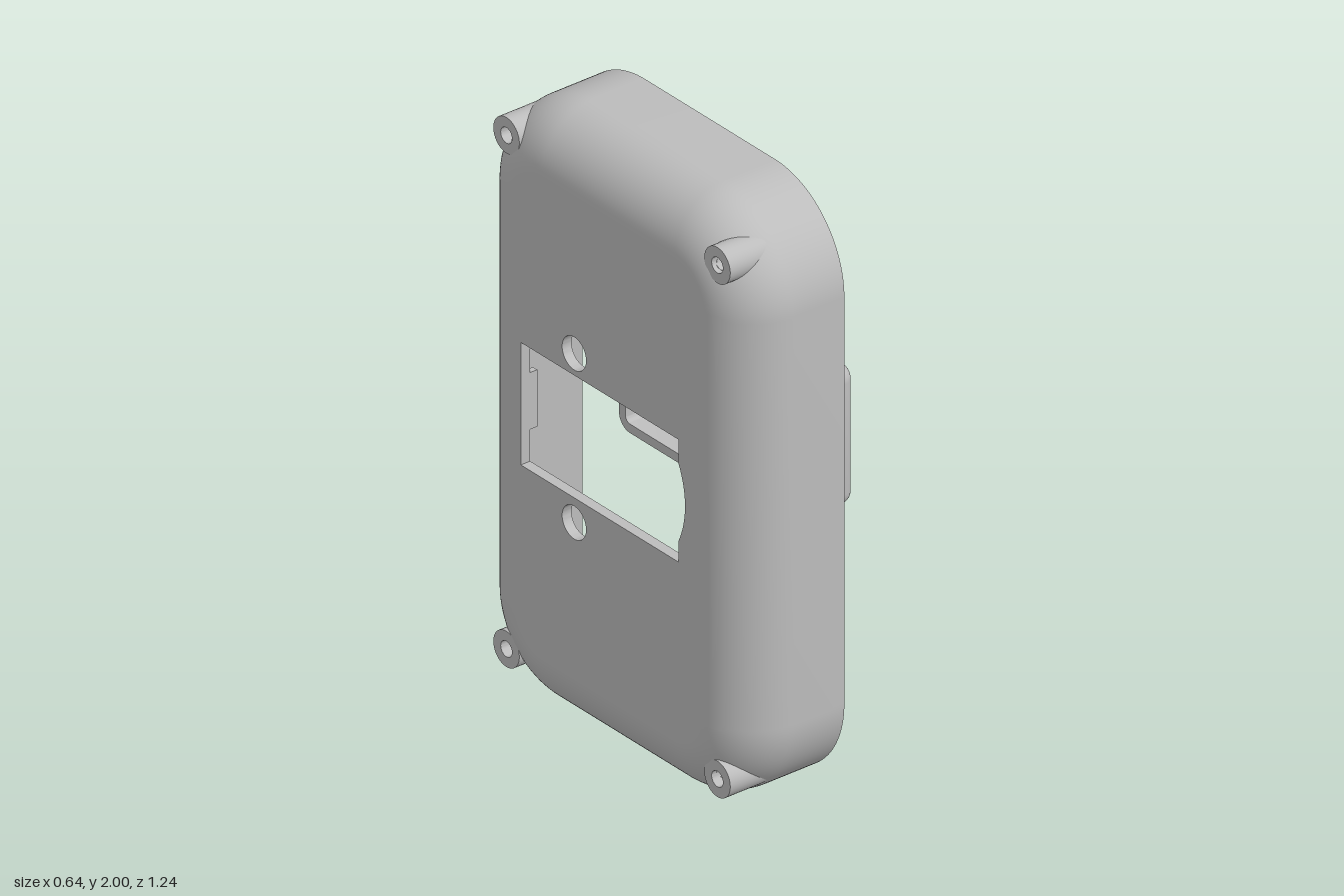
import * as THREE from 'three';
import { toCreasedNormals } from 'three/addons/utils/BufferGeometryUtils.js';

// Parts are built lying on the XY plane with depth along +Z, then turned so depth runs along +X.
const grey = new THREE.MeshStandardMaterial({ color: 0xbcbcbc });
grey.name = 'casingGrey';

const TRAY = { hw: 0.62, hh: 1, r: 0.32, fillet: 0.19, wall: 0.035, floor: -0.32, rim: 0.06 };
const COVER = { hw: 0.395, hh: 0.235, r: 0.05, fillet: 0.04, wall: 0.03, open: 0.075, top: 0.32 };
const POST = { x: 0.485, y: 0.86, r: 0.06, bore: 0.026, tip: -0.305 };

function part(name, geometry) {
  const mesh = new THREE.Mesh(geometry, grey);
  mesh.name = name;
  return mesh;
}

// Counter-clockwise rounded rectangle
function roundedRect(hw, hh, r, n) {
  const pts = [];
  for (let c = 0; c < 4; c++) {
    const sx = c === 0 || c === 3 ? 1 : -1, sy = c < 2 ? 1 : -1;
    for (let i = 0; i <= n; i++) {
      const a = (c + i / n) * Math.PI / 2;
      pts.push(new THREE.Vector2(sx * (hw - r) + r * Math.cos(a), sy * (hh - r) + r * Math.sin(a)));
    }
  }
  return pts;
}

// Join closed rings of points into a skin, leaving out quads lying wholly in a bore
function skin(rings, inBore = () => false) {
  const n = rings[0].length, index = [];
  for (let j = 0; j < rings.length - 1; j++) {
    for (let i = 0; i < n; i++) {
      const k = (i + 1) % n;
      const q = [[j, i], [j, k], [j + 1, k], [j + 1, i]];
      if (q.every(([a, b]) => inBore(rings[a][b]))) continue;
      const [p0, p1, p2, p3] = q.map(([a, b]) => a * n + b);
      index.push(p0, p1, p2, p0, p2, p3);
    }
  }
  const geo = new THREE.BufferGeometry();
  geo.setAttribute('position', new THREE.Float32BufferAttribute(rings.flat().flatMap(p => [p.x, p.y, p.z]), 3));
  geo.setIndex(index);
  return toCreasedNormals(geo, 0.6);
}

function plate(shape, z, depth) {
  const geo = new THREE.ExtrudeGeometry(shape, { depth, bevelEnabled: false, curveSegments: 24 });
  geo.translate(0, 0, z);
  return toCreasedNormals(geo, 0.6);
}

function circleHole(x, y, r) {
  return new THREE.Path().absarc(x, y, r, 0, Math.PI * 2, true);
}

// Depth of the rounded tray corner under a point, for a given fillet radius
function cornerDepth(x, y, R) {
  const d = Math.hypot(Math.abs(x) - (TRAY.hw - TRAY.r), Math.abs(y) - (TRAY.hh - TRAY.r));
  const k = Math.max(0, TRAY.fillet - TRAY.r + d);
  return TRAY.floor + TRAY.fillet - Math.sqrt(Math.max(0, R * R - k * k));
}

function trayShell() {
  const { hw, hh, r, fillet, wall, floor, rim } = TRAY;
  const N = 20, zc = floor + fillet, rows = [];
  const arc = (R, a) => rows.push({ inset: fillet - R * Math.sin(a), z: zc - R * Math.cos(a), R });
  for (let i = 0; i <= N; i++) arc(fillet, i / N * Math.PI / 2);
  rows.push({ inset: 0, z: rim }, { inset: wall, z: rim });
  for (let i = N; i >= 0; i--) arc(fillet - wall, i / N * Math.PI / 2);
  const rings = rows.map(({ inset, z, R }) =>
    roundedRect(hw - inset, hh - inset, r - inset, 32).map(p => {
      const v = new THREE.Vector3(p.x, p.y, z);
      const cx = Math.sign(p.x) * POST.x, cy = Math.sign(p.y) * POST.y;
      const dx = p.x - cx, dy = p.y - cy, d = Math.hypot(dx, dy);
      // Move points inside a screw bore out to its edge
      if (R && d < POST.bore) {
        const s = POST.bore / Math.max(d, 1e-6);
        v.set(cx + dx * s, cy + dy * s, 0);
        v.z = cornerDepth(v.x, v.y, R);
        v.inside = true;
      }
      return v;
    }));
  return skin(rings, p => p.inside);
}

function trayFloor() {
  const { hw, hh, r, fillet, wall, floor } = TRAY;
  const shape = new THREE.Shape(roundedRect(hw - fillet, hh - fillet, r - fillet, 32));
  for (const s of [-1, 1]) shape.holes.push(circleHole(0.155, s * 0.283, 0.055));
  // Window with a bowed recess on one edge
  const win = new THREE.Path();
  win.moveTo(-0.325, -0.2);
  win.lineTo(-0.325, -0.13);
  win.quadraticCurveTo(-0.385, 0, -0.325, 0.13);
  win.lineTo(-0.325, 0.21);
  win.lineTo(0.4, 0.21);
  win.lineTo(0.4, -0.2);
  win.closePath();
  shape.holes.push(win);
  return plate(shape, floor, wall);
}

// Hollow screw post trimmed to the curved tray corner
function screwPost(sx, sy) {
  const ring = (r, depth) => Array.from({ length: 32 }, (_, i) => {
    const a = i / 32 * Math.PI * 2;
    const x = sx * POST.x + r * Math.cos(a), y = sy * POST.y + r * Math.sin(a);
    return new THREE.Vector3(x, y, depth(x, y));
  });
  const tip = () => POST.tip;
  return skin([
    ring(POST.bore, (x, y) => cornerDepth(x, y, TRAY.fillet - TRAY.wall)),
    ring(POST.bore, tip),
    ring(POST.r, tip),
    ring(POST.r, (x, y) => Math.max(POST.tip, cornerDepth(x, y, TRAY.fillet))),
  ]);
}

function createCover() {
  const { hw, hh, r, fillet, wall, open, top } = COVER;
  const cover = new THREE.Group();
  cover.name = 'cover';
  const notchZ = open + 0.07, n = 8, zc = top - fillet, rows = [];
  const arc = (R, a) => rows.push([fillet - R * Math.cos(a), zc + R * Math.sin(a)]);
  rows.push([wall, notchZ], [0, notchZ]);
  for (let i = 0; i <= n; i++) arc(fillet, i / n * Math.PI / 2);
  const outerCount = rows.length;
  for (let i = n; i >= 0; i--) arc(fillet - wall, i / n * Math.PI / 2);
  rows.push([wall, notchZ]);
  const rings = rows.map(([d, z]) =>
    roundedRect(hw - d, hh - d, r - d, n).map(p => new THREE.Vector3(p.x, p.y, z)));
  cover.add(part('coverOuterSkin', skin(rings.slice(0, outerCount))));
  cover.add(part('coverInnerSkin', skin(rings.slice(outerCount))));

  // Lower wall with a cable notch in one end
  const low = -0.1, high = 0.09;
  const loop = d => [new THREE.Vector2(hw - d, high), ...roundedRect(hw - d, hh - d, r - d, n), new THREE.Vector2(hw - d, low)];
  const wallShape = new THREE.Shape([...loop(0), ...loop(wall).reverse()]);
  cover.add(part('coverNotchedWall', plate(wallShape, open, notchZ - open)));

  // Face in two layers, giving counterbored screw holes
  const face = holeRadius => {
    const shape = new THREE.Shape(roundedRect(hw - fillet, hh - fillet, r - fillet, n));
    for (const x of [-0.07, 0.313]) for (const y of [-0.159, 0.159]) shape.holes.push(circleHole(x, y, holeRadius));
    return shape;
  };
  cover.add(part('coverFace', plate(face(0.034), top - wall / 2, wall / 2)));
  cover.add(part('coverFaceBacking', plate(face(0.02), top - wall, wall / 2)));
  cover.position.set(0.04, 0.005, 0);
  return cover;
}

export function createModel() {
  const body = new THREE.Group();
  body.name = 'enclosure';
  const tray = new THREE.Group();
  tray.name = 'tray';
  tray.add(part('trayShell', trayShell()), part('trayFloor', trayFloor()));
  for (const sx of [-1, 1]) for (const sy of [-1, 1]) tray.add(part('screwPost', screwPost(sx, sy)));
  // Small rib beside the window that meets the cover notch
  const rib = part('windowRib', new THREE.BoxGeometry(0.02, 0.19, 0.03));
  rib.position.set(0.412, 0, -0.272);
  tray.add(rib);
  body.add(tray, createCover());
  body.rotation.y = Math.PI / 2;
  body.position.y = 1;
  const model = new THREE.Group();
  model.name = 'model';
  model.add(body);
  return model;
}
